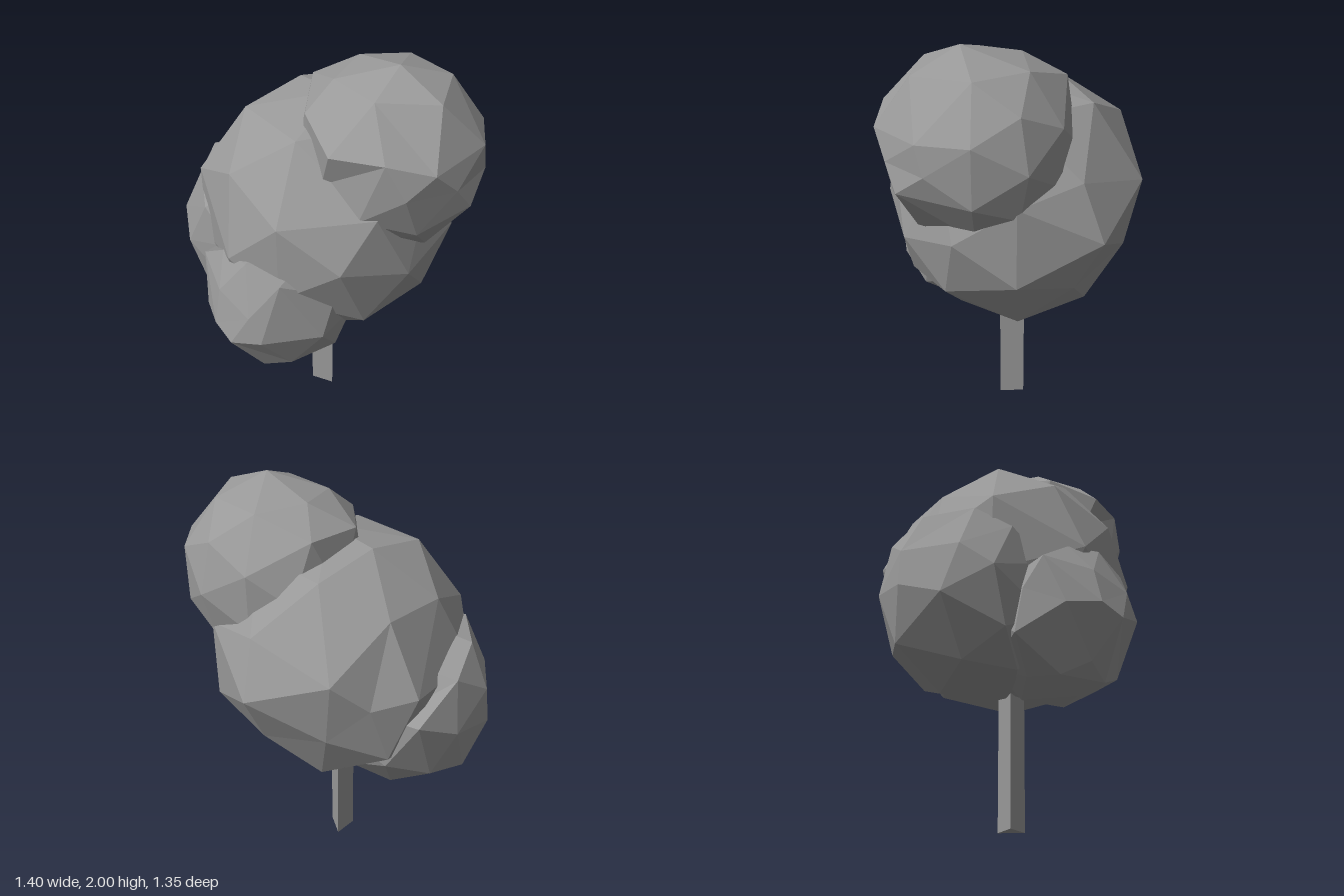
import * as THREE from 'three';
import { mergeVertices } from 'three/addons/utils/BufferGeometryUtils.js';

const grey = new THREE.MeshStandardMaterial({ color: 0x999999 });
grey.name = 'grey';

// Faceted ball; each given point claims the nearest free corner and pulls it over
function foliage(name, centre, radius, corners) {
  const ball = new THREE.IcosahedronGeometry(radius, 1);
  ball.deleteAttribute('uv');
  ball.deleteAttribute('normal');
  ball.translate(...centre);
  const shared = mergeVertices(ball, 1e-3);
  const p = shared.attributes.position;
  const v = new THREE.Vector3();
  const free = new Set(Array.from({ length: p.count }, (_, i) => i));
  for (const corner of corners) {
    const target = new THREE.Vector3(...corner);
    let nearest = 0;
    let best = Infinity;
    for (const i of free) {
      const d = v.fromBufferAttribute(p, i).distanceTo(target);
      if (d < best) {
        best = d;
        nearest = i;
      }
    }
    p.setXYZ(nearest, ...corner);
    free.delete(nearest);
  }
  // Separate corners for every triangle give flat facets
  const g = shared.toNonIndexed();
  g.computeVertexNormals();
  const mesh = new THREE.Mesh(g, grey);
  mesh.name = name;
  return mesh;
}

export function createModel() {
  const tree = new THREE.Group();
  tree.name = 'tree';

  // Three-sided trunk
  const section = new THREE.Shape([
    new THREE.Vector2(0.073, 0.015),
    new THREE.Vector2(-0.03, -0.045),
    new THREE.Vector2(-0.035, 0.075),
  ]);
  const trunkShape = new THREE.ExtrudeGeometry(section, { depth: 0.8, bevelEnabled: false });
  trunkShape.rotateX(-Math.PI / 2);
  const trunk = new THREE.Mesh(trunkShape, grey);
  trunk.name = 'trunk';
  tree.add(trunk);

  // Crown: one large clump with three smaller ones around it
  tree.add(
    foliage('mainFoliage', [-0.02, 1.21, -0.04], 0.62, [
      [-0.07, 1.2, -0.67], [-0.41, 1.35, -0.48], [-0.35, 1.02, -0.45], [-0.63, 1.25, -0.17],
      [-0.5, 1.2, -0.33], [-0.48, 1.58, -0.2], [-0.45, 1.55, 0.14], [-0.22, 1.77, -0.04],
      [0.05, 1.8, -0.04], [0.585, 1.12, -0.04], [0.54, 1.45, 0.12], [0.48, 0.85, 0.12],
      [-0.02, 0.92, -0.53], [0.15, 0.67, -0.32], [-0.02, 0.62, 0], [0.08, 1.18, 0.58],
      [-0.02, 1.46, -0.57],
    ]),
    foliage('topFoliage', [0.27, 1.57, -0.17], 0.43, [
      [0.33, 2.0, -0.15], [0.57, 1.91, -0.17], [0.69, 1.68, -0.05], [0.65, 1.7, -0.36],
      [0.7, 1.46, -0.26], [0.56, 1.23, -0.15], [-0.11, 1.84, -0.29], [-0.11, 1.83, -0.03],
      [0.57, 1.73, 0.12], [0.3, 1.55, 0.23], [0.37, 1.72, 0.25], [0.13, 1.8, 0.19],
    ]),
    foliage('sideFoliage', [-0.28, 0.97, 0.13], 0.43, [
      [-0.41, 0.55, 0.1], [-0.25, 0.57, 0.13], [-0.65, 0.72, 0.16], [-0.6, 0.74, -0.02],
      [-0.7, 1.0, 0.03], [-0.69, 0.95, 0.27], [-0.68, 1.13, 0.25], [-0.58, 1.34, 0.24],
      [-0.64, 1.1, -0.17], [-0.66, 1.26, 0.05], [-0.56, 0.87, 0.44], [-0.36, 1.0, 0.545],
      [-0.4, 1.34, 0.42], [-0.25, 1.24, 0.5],
    ]),
    foliage('frontFoliage', [0.09, 0.86, 0.32], 0.36, [
      [0, 1.17, 0.56], [-0.14, 1.08, 0.58], [0.08, 1.03, 0.64], [0.17, 1.19, 0.55],
      [0.33, 1.13, 0.48], [0.42, 1.02, 0.24], [0.43, 0.82, 0.32], [0.33, 0.85, 0.59],
      [0.2, 0.81, 0.67], [0.32, 0.63, 0.42], [0.1, 0.63, 0.56], [0.12, 0.525, 0.4],
      [0.27, 0.6, 0.32], [-0.1, 0.6, 0.34], [-0.06, 0.85, 0.63], [-0.21, 0.93, 0.52],
      [-0.24, 0.72, 0.5],
    ]),
  );
  return tree;
}
